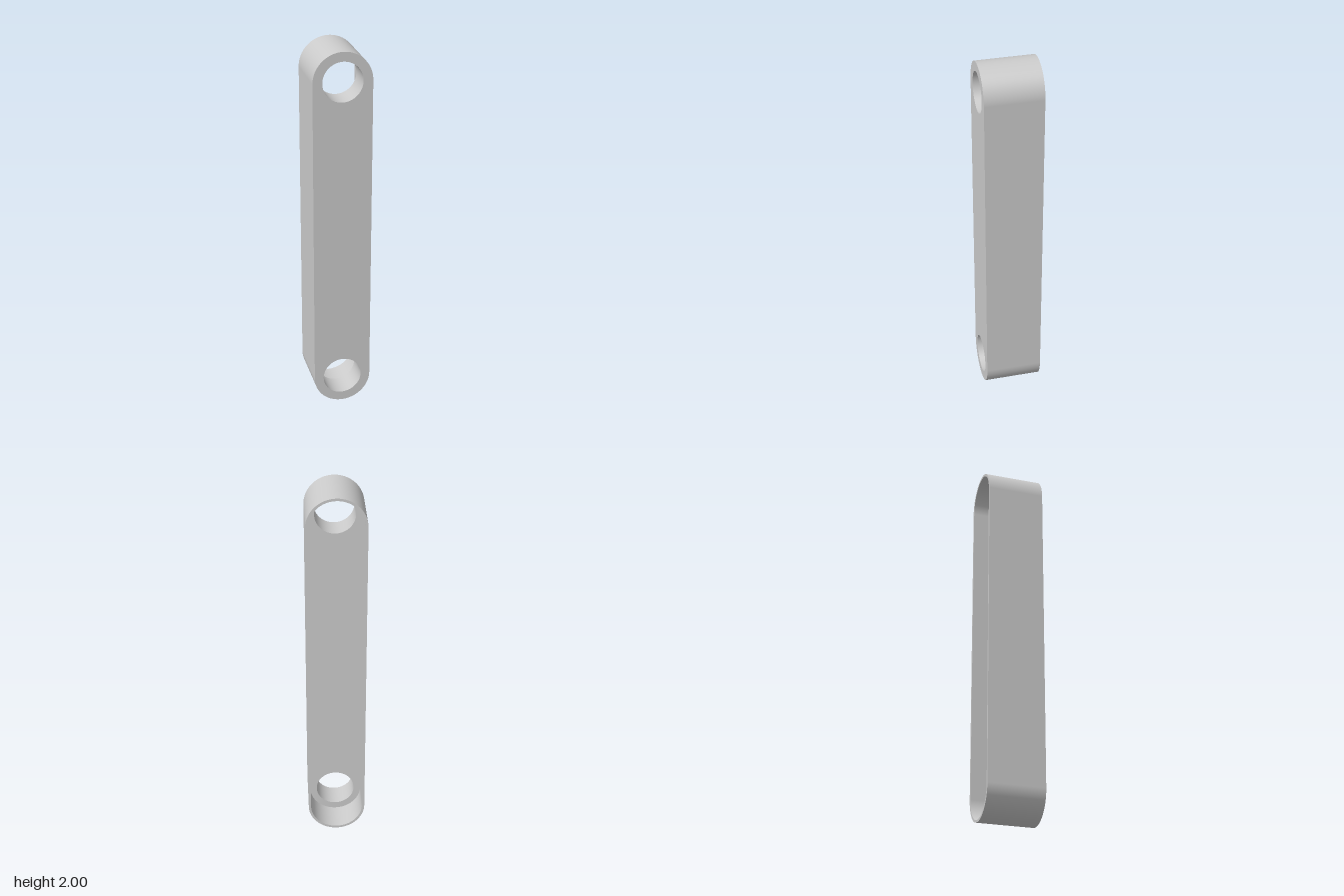
import * as THREE from 'three';

const R = 0.155, WALL = 0.013, HOLE = 0.105;      // outer radius, rim wall, hole radius
const BACK = -0.1525, FRONT = 0.1525, FLOOR = 0.015; // depth positions along z
const LOW = R, HIGH = 2 - R;                      // centres of the rounded ends
const SEG = 48;

const material = new THREE.MeshStandardMaterial({ color: 0xcccccc });

// Counter-clockwise outline of a slot: upper half circle, then lower half circle
function slotPoints(r) {
  const pts = [];
  for (const [cy, start] of [[HIGH, 0], [LOW, Math.PI]]) {
    for (let i = 0; i <= SEG; i++) {
      const a = start + (Math.PI * i) / SEG;
      pts.push(new THREE.Vector2(r * Math.cos(a), cy + r * Math.sin(a)));
    }
  }
  return pts;
}

function circlePoints(r, cy) {
  const pts = [];
  for (let i = 0; i < 2 * SEG; i++) {
    const a = (Math.PI * i) / SEG;
    pts.push(new THREE.Vector2(r * Math.cos(a), cy + r * Math.sin(a)));
  }
  return pts;
}

// Smooth wall along a closed outline; dir is 1 to face outwards, -1 to face inwards
function wall(pts, z0, z1, dir, centreOf) {
  const pos = [], nor = [], idx = [], n = pts.length;
  pts.forEach((p, i) => {
    const d = new THREE.Vector2(p.x, p.y - centreOf(i)).normalize().multiplyScalar(dir);
    pos.push(p.x, p.y, z0, p.x, p.y, z1);
    nor.push(d.x, d.y, 0, d.x, d.y, 0);
    const a = 2 * i, b = 2 * ((i + 1) % n);
    if (dir > 0) idx.push(a, b, b + 1, a, b + 1, a + 1);
    else idx.push(a, b + 1, b, a, a + 1, b + 1);
  });
  const g = new THREE.BufferGeometry();
  g.setAttribute('position', new THREE.Float32BufferAttribute(pos, 3));
  g.setAttribute('normal', new THREE.Float32BufferAttribute(nor, 3));
  g.setIndex(idx);
  return g;
}

// Flat face with cut-outs, facing the front or the back
function face(outline, holes, z, facesBack) {
  const shape = new THREE.Shape(outline);
  shape.holes = holes.map((h) => new THREE.Path(h));
  const g = new THREE.ShapeGeometry(shape);
  // A half turn about y; the outline is symmetric in x
  if (facesBack) g.rotateY(Math.PI);
  return g.translate(0, 0, z);
}

export function createModel() {
  const group = new THREE.Group();
  group.name = 'linkArm';
  const add = (name, geometry) => {
    const mesh = new THREE.Mesh(geometry, material);
    mesh.name = name;
    group.add(mesh);
  };

  const outer = slotPoints(R), inner = slotPoints(R - WALL);
  const slotCentre = (i) => (i <= SEG ? HIGH : LOW);
  const holes = [LOW, HIGH].map((y) => circlePoints(HOLE, y));

  // Thick front plate with a hole at each end
  add('frontFace', face(outer, holes, FRONT, false));
  add('recessFloor', face(inner, holes, FLOOR, true));
  add('lowerHole', wall(holes[0], FLOOR, FRONT, -1, () => LOW));
  add('upperHole', wall(holes[1], FLOOR, FRONT, -1, () => HIGH));

  // Thin skirt around the recess, open at the back
  add('outerWall', wall(outer, BACK, FRONT, 1, slotCentre));
  add('recessWall', wall(inner, BACK, FLOOR, -1, slotCentre));
  add('backRim', face(outer, [inner], BACK, true));

  return group;
}
